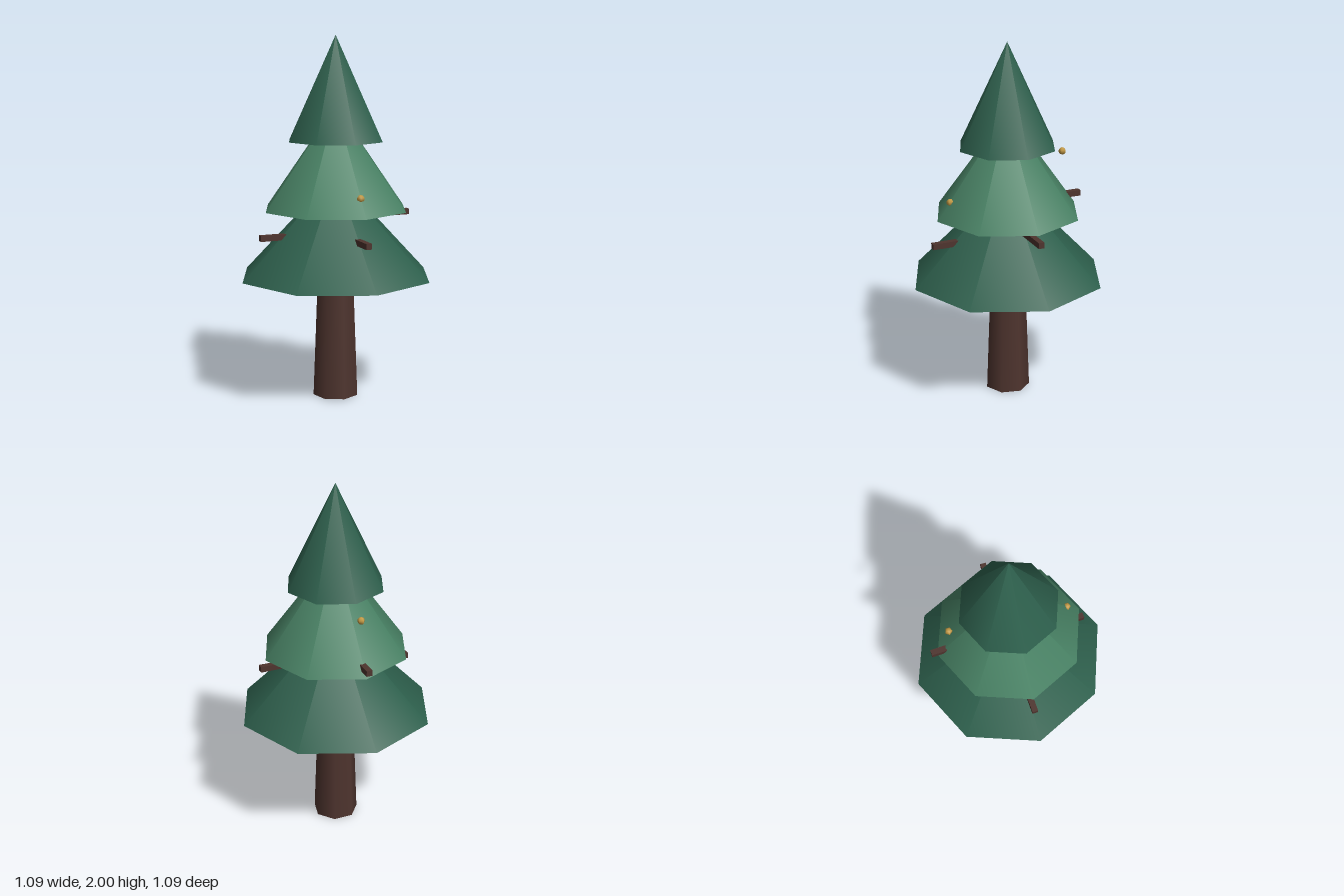
import * as THREE from 'three';

export function createModel() {
  const tree = new THREE.Group();
  tree.name = 'pineTree';

  const bark = new THREE.MeshStandardMaterial({ color: 0x4e342e });
  const darkGreen = new THREE.MeshStandardMaterial({ color: 0x2d5f4c });
  const lightGreen = new THREE.MeshStandardMaterial({ color: 0x478063 });
  const gold = new THREE.MeshStandardMaterial({ color: 0xc49a45 });

  const add = (name, geometry, material, x, y, z) => {
    const mesh = new THREE.Mesh(geometry, material);
    mesh.name = name;
    mesh.position.set(x, y, z);
    tree.add(mesh);
    return mesh;
  };

  // Seven-sided tapered trunk
  const trunkHeight = 0.69;
  add('trunk', new THREE.CylinderGeometry(0.1, 0.126, trunkHeight, 7), bark, 0, trunkHeight / 2, 0);

  // Three stacked eight-sided foliage cones
  const coneHeight = 0.57;
  const tiers = [
    ['lowerFoliage', 0.545, 0.68, darkGreen],
    ['middleFoliage', 0.409, 1.055, lightGreen],
    ['upperFoliage', 0.273, 1.43, darkGreen],
  ];
  for (const [name, radius, base, material] of tiers) {
    add(name, new THREE.ConeGeometry(radius, coneHeight, 8), material, 0, base + coneHeight / 2, 0);
  }

  // Square branch stubs poking out along the four axes
  const inner = 0.17, outer = 0.442, thick = 0.032;
  const branches = [
    ['frontBranch', 0, 1, 0.918],
    ['leftBranch', 1, 0, 1.012],
    ['backBranch', 0, -1, 1.105],
    ['rightBranch', -1, 0, 0.918],
  ];
  const branchGeometry = new THREE.BoxGeometry(thick, thick, outer - inner);
  const middle = (inner + outer) / 2;
  for (const [name, dx, dz, y] of branches) {
    const branch = add(name, branchGeometry, bark, dx * middle, y, dz * middle);
    branch.rotation.y = Math.atan2(dx, dz);
  }

  // Small golden baubles
  const bauble = new THREE.SphereGeometry(0.021, 5, 5);
  add('frontBauble', bauble, gold, 0, 1.155, 0.334);
  add('backBauble', bauble, gold, 0, 1.36, -0.332);

  return tree;
}
